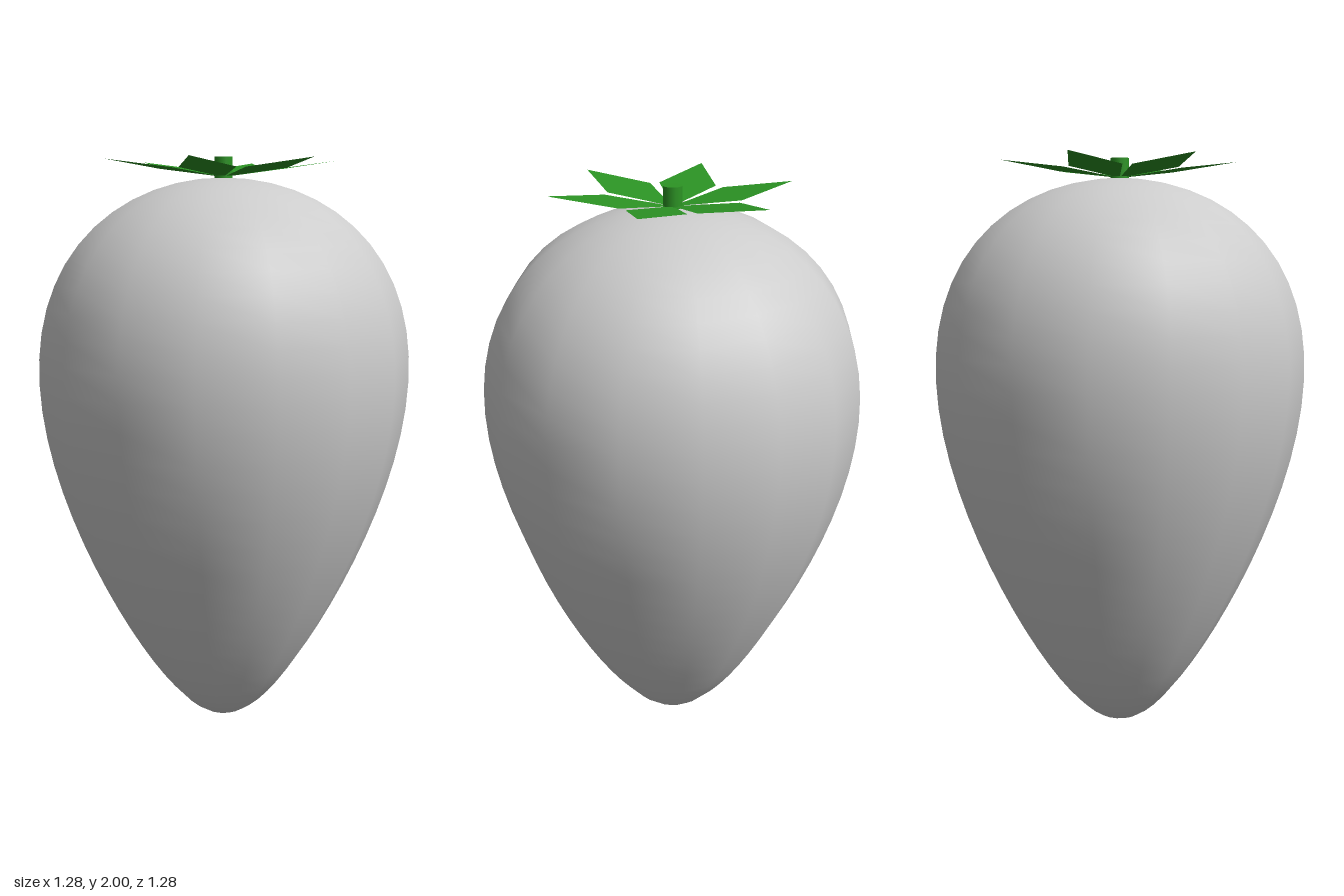
import * as THREE from 'three';

export function createModel() {
  const model = new THREE.Group();
  const skin = new THREE.MeshStandardMaterial({ color: 0xcccccc, name: 'fruitGrey' });
  const green = new THREE.MeshStandardMaterial({ color: 0x2c9424, name: 'leafGreen', side: THREE.DoubleSide });

  // Fruit: a sphere profile that is fuller at the top and tapers to the tip
  const profile = [];
  const rings = 32;
  for (let i = 0; i <= rings; i++) {
    const t = Math.PI * (1 - i / rings);
    const radius = 0.6 * Math.sin(t) * (1 + 0.4 * Math.cos(t));
    profile.push(new THREE.Vector2(Math.max(radius, 0), 0.966 + 0.966 * Math.cos(t)));
  }
  const fruit = new THREE.Mesh(new THREE.LatheGeometry(profile, 16), skin);
  fruit.name = 'fruit';
  model.add(fruit);

  // Leaves: six flat kites rising slightly towards their tips
  const kite = new THREE.Shape([[0, 0], [0.2, -0.097], [0.405, 0], [0.2, 0.097]]
    .map(([x, y]) => new THREE.Vector2(x, y)));
  const leafGeometry = new THREE.ShapeGeometry(kite);
  leafGeometry.rotateX(-Math.PI / 2);
  const points = leafGeometry.attributes.position;
  for (let i = 0; i < points.count; i++) points.setY(i, 1.934 + 0.14 * points.getX(i));
  leafGeometry.computeVertexNormals();
  const crown = new THREE.Group();
  crown.name = 'leafCrown';
  for (let i = 0; i < 6; i++) {
    const leaf = new THREE.Mesh(leafGeometry, green);
    leaf.name = 'leaf';
    leaf.rotation.y = i * Math.PI / 3;
    crown.add(leaf);
  }
  model.add(crown);

  // Stem
  const stem = new THREE.Mesh(new THREE.CylinderGeometry(0.032, 0.032, 0.08, 12), green);
  stem.name = 'stem';
  stem.position.y = 1.96;
  model.add(stem);

  return model;
}
